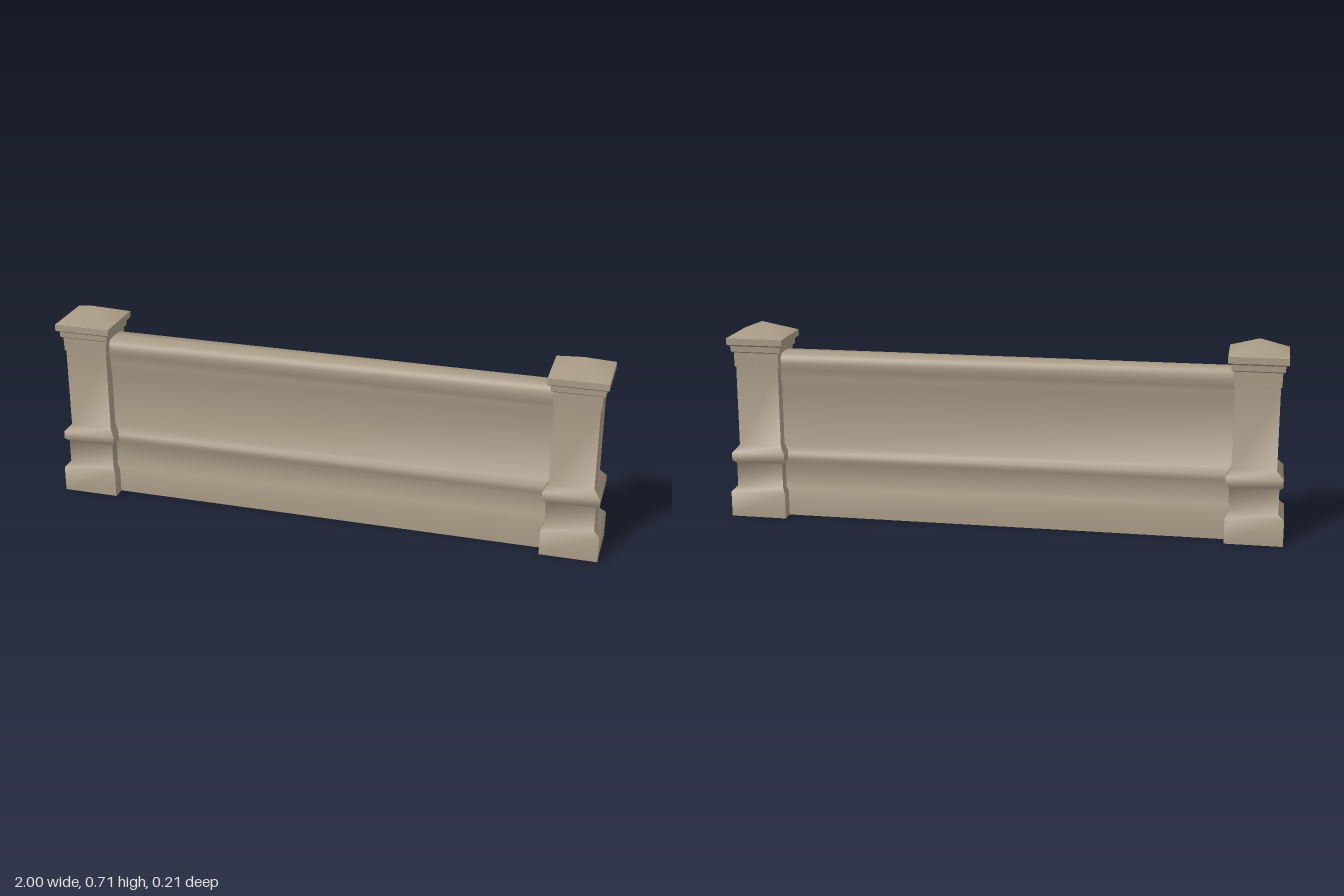
import * as THREE from 'three';
import { toCreasedNormals } from 'three/addons/utils/BufferGeometryUtils.js';

const stone = new THREE.MeshStandardMaterial({ color: 0xa99b86 });
stone.name = 'weathered stone';
const CREASE = 0.95;

// Square pillar profile: half width, height, outward offset
const POST = [
  [0, 0, 0.008], [0.102, 0, 0.008], [0.102, 0.093, 0.008], [0.086, 0.113, 0.003],
  [0.086, 0.2, 0.003], [0.099, 0.213, 0.003], [0.099, 0.24, 0.003], [0.078, 0.267],
  [0.078, 0.56], [0.082, 0.561], [0.083, 0.612], [0.091, 0.617], [0.092, 0.637],
  [0.103, 0.644], [0.103, 0.667], [0, 0.714],
];

// Wall section: half depth, height
const WALL = [
  [0.054, 0], [0.054, 0.1], [0.045, 0.125], [0.045, 0.2], [0.052, 0.215],
  [0.052, 0.235], [0.035, 0.26], [0.035, 0.48], [0.044, 0.515], [0.044, 0.535],
  [0.049, 0.55], [0.054, 0.57], [0.054, 0.595], [0.045, 0.607],
];

// Square rings stacked along a profile, with sharp corners
function squareTurned(profile, side) {
  const corners = [[1, 1], [1, -1], [-1, -1], [-1, 1]];
  const pos = [];
  const point = ([h, y, out = 0], i) => {
    const [sx, sz] = corners[i % 4];
    return [side * out + sx * h, y, sz * h];
  };
  for (let k = 0; k < profile.length - 1; k++) {
    const lo = profile[k], hi = profile[k + 1];
    for (let i = 0; i < 4; i++) {
      const a = point(lo, i), b = point(lo, i + 1), c = point(hi, i + 1), d = point(hi, i);
      if (lo[0] > 0) pos.push(...a, ...b, ...c);
      if (hi[0] > 0) pos.push(...a, ...c, ...d);
      else if (lo[0] === 0) continue;
    }
  }
  const geo = new THREE.BufferGeometry();
  geo.setAttribute('position', new THREE.Float32BufferAttribute(pos, 3));
  return toCreasedNormals(geo, CREASE);
}

export function createModel() {
  const group = new THREE.Group();
  group.name = 'stoneWallSection';

  // Capped end pillars
  for (const side of [-1, 1]) {
    const post = new THREE.Mesh(squareTurned(POST, side), stone);
    post.name = side > 0 ? 'leftPillar' : 'rightPillar';
    post.position.x = side * 0.89;
    group.add(post);
  }

  // Moulded wall, mirrored front to back and run between the pillars
  const outline = [
    ...WALL,
    [0, 0.61],
    ...WALL.map(([z, y]) => [-z, y]).reverse(),
  ].map(([z, y]) => new THREE.Vector2(z, y));
  const length = 1.68;
  const geo = new THREE.ExtrudeGeometry(new THREE.Shape(outline), { depth: length, bevelEnabled: false });
  geo.translate(0, 0, -length / 2);
  geo.rotateY(Math.PI / 2);
  const wall = new THREE.Mesh(toCreasedNormals(geo, CREASE), stone);
  wall.name = 'mouldedWall';
  group.add(wall);

  return group;
}
